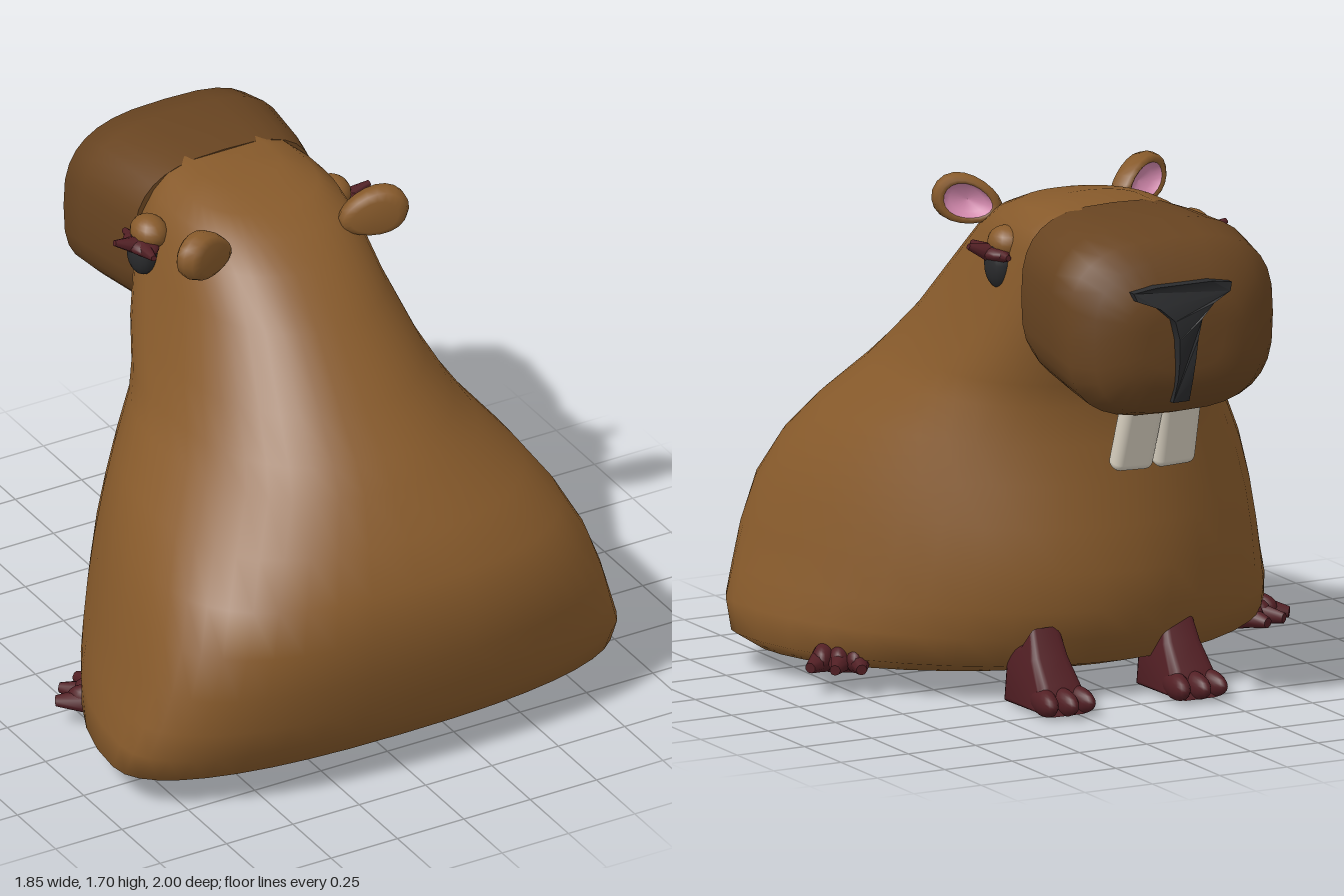
import * as THREE from 'three';
import { toCreasedNormals } from 'three/addons/utils/BufferGeometryUtils.js';
import { RoundedBoxGeometry } from 'three/addons/geometries/RoundedBoxGeometry.js';

const mat = (name, color) => Object.assign(new THREE.MeshStandardMaterial({ color }), { name });

// Closed skin through rings of points, capped at both ends
function loft(rings) {
  const n = rings[0].length, pos = [], idx = [];
  const centre = r => r.reduce((s, p) => s.add(p), new THREE.Vector3()).divideScalar(n);
  const all = [rings[0].map(() => centre(rings[0])), ...rings, rings[0].map(() => centre(rings.at(-1)))];
  all.forEach(r => r.forEach(p => pos.push(p.x, p.y, p.z)));
  for (let i = 0; i < all.length - 1; i++) {
    for (let j = 0; j < n; j++) {
      const k = (j + 1) % n, a = i * n + j, b = i * n + k;
      if (i < all.length - 2) idx.push(a, a + n, b + n);
      if (i > 0) idx.push(a, b + n, b);
    }
  }
  const g = new THREE.BufferGeometry();
  g.setAttribute('position', new THREE.Float32BufferAttribute(pos, 3));
  g.setIndex(idx);
  g.computeVertexNormals();
  return g;
}

// Unit superellipse points; the exponent may differ between the two halves
function ring(n, expPlus, expMinus, place) {
  return Array.from({ length: n }, (_, j) => {
    const t = (j / n) * Math.PI * 2, c = Math.cos(t), s = Math.sin(t);
    const e = 2 / (s >= 0 ? expPlus : expMinus);
    return place(Math.sign(c) * Math.abs(c) ** e, Math.sign(s) * Math.abs(s) ** e);
  });
}

// Moves every vertex of a geometry by a rule
function warp(geo, rule) {
  const p = geo.attributes.position;
  for (let i = 0; i < p.count; i++) p.setXYZ(i, ...rule(p.getX(i), p.getY(i), p.getZ(i)));
  return geo;
}

export function createModel() {
  const model = new THREE.Group();
  model.name = 'rodent';
  const fur = mat('brown fur', 0x875a2b), muzzleFur = mat('dark brown fur', 0x684421);
  const skin = mat('dark red skin', 0x521f24), black = mat('black', 0x2a2b2d);
  const ivory = mat('ivory', 0xd8d0c0), pink = mat('pink', 0xd68bb0);

  const add = (name, geo, material, parent = model) => {
    const m = new THREE.Mesh(geo, material);
    m.name = name;
    parent.add(m);
    return m;
  };
  const blob = (name, material, p, r, parent) => {
    const m = add(name, new THREE.SphereGeometry(1, 16, 12), material, parent);
    m.position.set(...p);
    m.scale.set(...r);
    return m;
  };
  const spike = (name, material, from, to, r0, r1, parent) => {
    const a = new THREE.Vector3(...from), b = new THREE.Vector3(...to), d = b.clone().sub(a);
    const m = add(name, new THREE.CylinderGeometry(r1, r0, d.length(), 8), material, parent);
    m.position.copy(a).add(b).multiplyScalar(0.5);
    m.quaternion.setFromUnitVectors(new THREE.Vector3(0, 1, 0), d.normalize());
  };

  // Body slices: y, back z, front z, widest z, half width, centre x, back and front roundness
  const bodySlices = [
    [0.075, 0.75, -0.2, 0.5, 0.86, 0, 2.5, 1.85],
    [0.12, 0.85, -0.36, 0.56, 0.925, 0, 2.4, 1.85],
    [0.22, 0.92, -0.44, 0.6, 0.92, 0, 2.4, 1.85],
    [0.32, 0.955, -0.475, 0.61, 0.885, 0, 2.4, 1.9],
    [0.45, 0.985, -0.49, 0.6, 0.845, 0, 2.5, 1.95],
    [0.6, 1.0, -0.475, 0.55, 0.795, 0, 2.6, 2],
    [0.74, 0.965, -0.46, 0.45, 0.73, 0, 2.6, 2],
    [0.87, 0.88, -0.445, 0.33, 0.64, 0.005, 2.5, 2.1],
    [1.0, 0.77, -0.43, 0.2, 0.525, 0.015, 2.3, 2.4],
    [1.08, 0.69, -0.455, 0.1, 0.475, 0.02, 2.3, 2.5],
    [1.2, 0.56, -0.48, -0.02, 0.42, 0.025, 2.3, 3],
    [1.4, 0.36, -0.5, -0.15, 0.35, 0.035, 2.3, 4],
    [1.53, 0.2, -0.5, -0.22, 0.318, 0.045, 2.3, 4],
    [1.6, 0.08, -0.5, -0.25, 0.28, 0.055, 2.3, 4],
    [1.645, -0.03, -0.5, -0.28, 0.225, 0.055, 2.3, 4],
    [1.67, -0.2, -0.5, -0.32, 0.14, 0.055, 2.3, 4],
  ];
  add('body', loft(bodySlices.map(([y, zb, zf, zw, hw, cx, nb, nf]) =>
    ring(40, nb, nf, (u, v) => new THREE.Vector3(cx + u * hw, y, zw + v * (v > 0 ? zb - zw : zw - zf))))), fur);

  // Muzzle slices: z, top y, bottom y, half width, centre x (the first is doubled to keep its edge sharp)
  const muzzleSlices = [
    [-0.41, 1.675, 1.12, 0.342, 0.055],
    [-0.41, 1.675, 1.12, 0.342, 0.055],
    [-0.5, 1.68, 1.1, 0.36, 0.06],
    [-0.7, 1.68, 1.08, 0.385, 0.065],
    [-0.83, 1.645, 1.06, 0.38, 0.07],
    [-0.9, 1.59, 1.08, 0.315, 0.075],
    [-0.945, 1.48, 1.17, 0.22, 0.08],
    [-0.955, 1.42, 1.23, 0.14, 0.08],
  ];
  add('muzzle', loft(muzzleSlices.map(([z, top, low, hw, cx]) =>
    ring(32, 2.9, 3, (u, v) => new THREE.Vector3(cx + u * hw, (top + low) / 2 + v * (top - low) / 2, z)))), muzzleFur);

  // Nose: T-shaped plate bent around the muzzle tip
  const half = [[0.1, 1.52], [0.182, 1.505], [0.172, 1.478], [0.1, 1.45], [0.05, 1.405], [0.034, 1.34],
    [0.03, 1.27], [0.028, 1.2], [0.03, 1.12]];
  const outline = [...half, ...half.map(([x, y]) => [-x, y]).reverse()];
  const nose = warp(new THREE.ExtrudeGeometry(new THREE.Shape(outline.map(p => new THREE.Vector2(...p))),
    { depth: 0.08, bevelEnabled: false }),
  (x, y, z) => [x + 0.09, y, z - 0.998 + 0.9 * (y - 1.37) ** 2 + 0.9 * x * x]);
  add('nose', toCreasedNormals(nose, 0.7), black);

  // Front teeth
  for (const s of [-1, 1]) {
    const tooth = add('tooth', new RoundedBoxGeometry(0.148, 0.28, 0.068, 3, 0.028), ivory);
    tooth.position.set(0.085 + s * 0.073, 0.995, -0.762);
    tooth.rotation.set(-0.29, 0, s * 0.04);
  }

  // Ears: domed back, thick rim and a pink hollow, wider toward the outer end
  const turn = (pts, s) => warp(new THREE.LatheGeometry(pts.map(p => new THREE.Vector2(...p)), 20),
    (x, y, z) => [x, y, z * (1 + 2.6 * s * x)]);
  const shell = [[0, -0.04], [0.06, -0.04], [0.082, -0.027], [0.09, 0], [0.085, 0.027], [0.073, 0.038], [0.062, 0.032]];
  const hollow = [[0.062, 0.032], [0.045, 0.008], [0, 0]];
  pink.side = THREE.DoubleSide;
  for (const [s, x, z] of [[-1, -0.285, 0.05], [1, 0.33, 0.085]]) {
    const ear = new THREE.Group();
    ear.name = s > 0 ? 'leftEar' : 'rightEar';
    add('earShell', turn(shell, s), fur, ear);
    add('earHollow', turn(hollow, s), pink, ear);
    ear.position.set(x, 1.612, z);
    ear.rotation.set(-Math.PI / 2, -s * 0.4, s * 0.3, 'YZX');
    ear.scale.set(1.33, 1.12, 0.9);
    model.add(ear);
  }

  // Eyes with lids and three lashes each
  for (const [s, x, z] of [[-1, -0.3, -0.29], [1, 0.345, -0.21]]) {
    const eye = new THREE.Group();
    eye.name = s > 0 ? 'leftEye' : 'rightEye';
    eye.position.set(x, 1.495, z);
    blob('eyeball', black, [s * 0.025, -0.03, 0], [0.048, 0.085, 0.06], eye);
    blob('eyelid', fur, [0, 0.037, 0], [0.06, 0.056, 0.07], eye);
    blob('lashBase', skin, [s * 0.035, 0.005, 0.01], [0.052, 0.027, 0.08], eye);
    for (const [dx, dy, dz] of [[0.135, 0.035, 0.01], [0.055, 0.015, 0.13], [0.04, 0.005, -0.09]])
      spike('lash', skin, [s * 0.04, 0, 0.01], [s * dx, dy, dz], 0.034, 0.01, eye);
    model.add(eye);
  }

  // Front feet: leg narrowing upward, with three toes pointing forward
  const leg = new THREE.Shape([[0.28, 0.025], [0.27, 0.16], [0.35, 0.19], [0.39, 0.24], [0.42, 0.17], [0.49, 0.09], [0.53, 0.025]]
    .map(p => new THREE.Vector2(...p)));
  const legGeo = new THREE.ExtrudeGeometry(leg,
    { depth: 0.11, bevelSize: 0.022, bevelThickness: 0.035, bevelSegments: 3 });
  legGeo.translate(0, 0, -0.055).rotateY(Math.PI / 2);
  warp(legGeo, (x, y, z) => [x * (1 - 1.4 * y), y, z]);
  const softLeg = toCreasedNormals(legGeo, 1);
  for (const x of [-0.19, 0.3]) {
    const foot = new THREE.Group();
    foot.name = 'frontFoot';
    add('frontLeg', softLeg, skin, foot);
    for (const t of [-1, 0, 1])
      blob('frontToe', skin, [t * 0.058, 0.048, -0.51 + Math.abs(t) * 0.015], [0.036, 0.046, 0.1], foot).rotation.y = -t * 0.15;
    foot.position.x = x;
    model.add(foot);
  }

  // Hind feet: flat pads with splayed toes
  for (const [s, x, z] of [[-1, -0.685, 0.15], [1, 0.725, 0.2]]) {
    const foot = new THREE.Group();
    foot.name = 'hindFoot';
    const pad = add('hindPad', new RoundedBoxGeometry(0.19, 0.09, 0.24, 3, 0.038), skin, foot);
    pad.position.set(0, 0.105, 0.02);
    for (const t of [-1, 0, 1]) {
      spike('hindToe', skin, [t * 0.055, 0.105, -0.07], [t * 0.085, 0.095, -0.19 + Math.abs(t) * 0.02], 0.044, 0.018, foot);
      blob('hindKnuckle', skin, [t * 0.055, 0.11, -0.07], [0.038, 0.048, 0.07], foot);
    }
    foot.position.set(x, 0, z);
    foot.rotation.y = -s * 0.65;
    model.add(foot);
  }
  return model;
}
